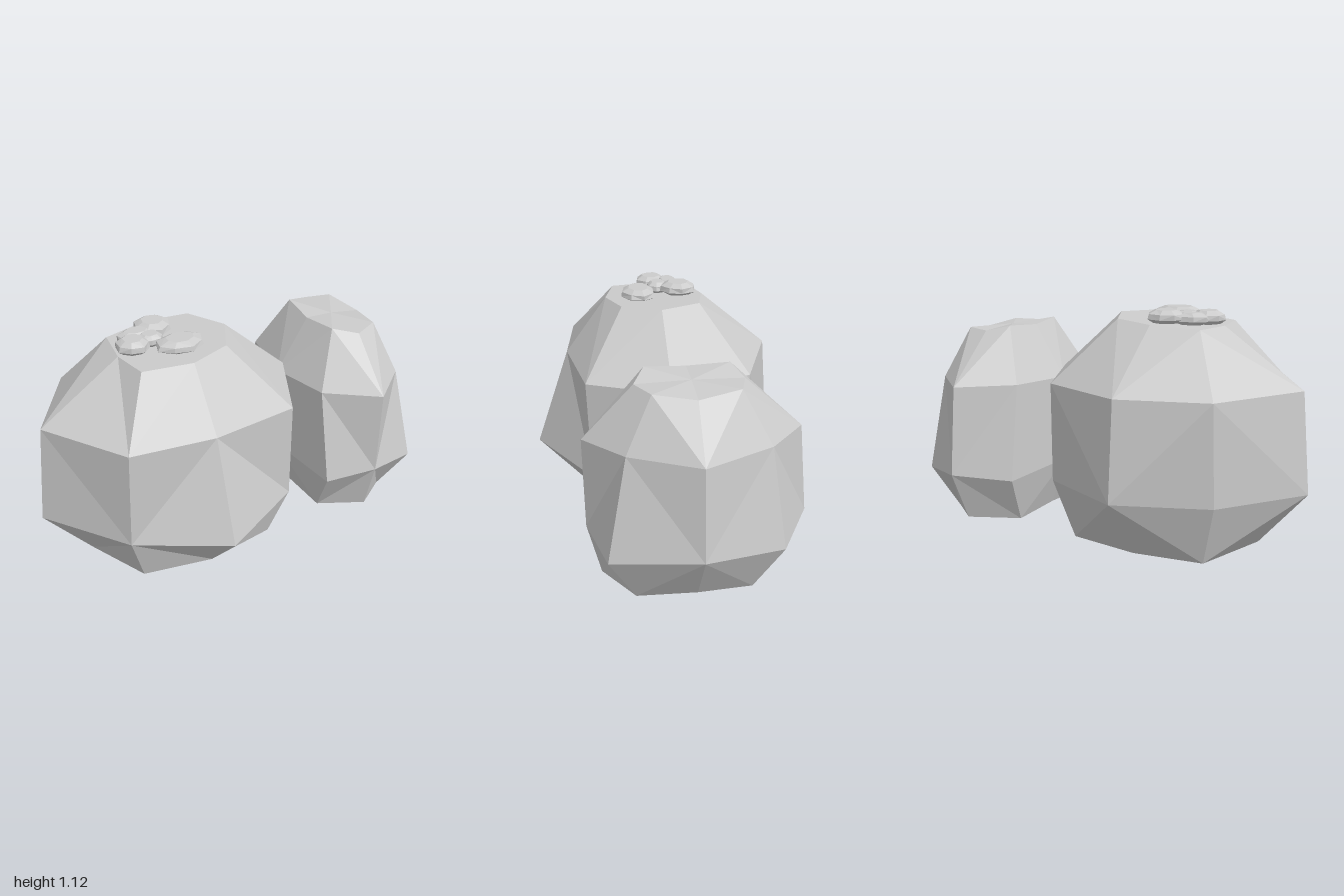
import * as THREE from 'three';

// One eight-sided ring: four cardinal corners and four diagonal ones, front first, turning towards +x.
// Values: cardinal y, diagonal y, then left, right, back, front for the cardinals and for the diagonals,
// then the slope of the ring along x and z.
function ring(cx, cz, [yc, yd, l, r, b, f, dl, dr, db, df, sx = 0, sz = 0]) {
  return [
    [cx, yc, f], [dr, yd, df], [r, yc, cz], [dr, yd, db],
    [cx, yc, b], [dl, yd, db], [l, yc, cz], [dl, yd, df],
  ].map(([x, y, z]) => new THREE.Vector3(x, y + sx * (x - cx) + sz * (z - cz), z));
}

// Closes four rings into a faceted stone. The bands fan from the cardinal corners;
// the sides listed in turned are split along the other diagonal.
function stone(name, rings, material, turned = []) {
  const pos = [];
  const tri = (...pts) => pts.forEach((p) => pos.push(p.x, p.y, p.z));
  const centre = (pts) => pts.reduce((s, p) => s.add(p), new THREE.Vector3()).divideScalar(8);
  const bottom = centre(rings[0]);
  const top = centre(rings[3]);
  for (let i = 0; i < 8; i++) {
    const j = (i + 1) % 8;
    tri(bottom, rings[0][j], rings[0][i]);
    tri(top, rings[3][i], rings[3][j]);
    for (let k = 0; k < 3; k++) {
      const a = rings[k][i], b = rings[k][j], c = rings[k + 1][j], d = rings[k + 1][i];
      const rising = ((i % 2 === 0) === (k > 0)) !== turned.includes(i);
      if (rising) {
        tri(a, b, c); tri(a, c, d);
      } else {
        tri(a, b, d); tri(b, c, d);
      }
    }
  }
  const geometry = new THREE.BufferGeometry();
  geometry.setAttribute('position', new THREE.Float32BufferAttribute(pos, 3));
  geometry.computeVertexNormals();
  const mesh = new THREE.Mesh(geometry, material);
  mesh.name = name;
  return mesh;
}

// A small flattened stone with slightly irregular radii.
function pebble(name, [x, y, z, rx, h, rz, turn], material) {
  const profile = [[0.7, 0], [1, 0.3], [0.95, 0.7], [0.58, 1]];
  const rings = profile.map(([s, t], k) => Array.from({ length: 8 }, (_, i) => {
    const a = (i * Math.PI) / 4 + turn;
    const r = s * (1 + 0.06 * Math.sin(i * 2.3 + k));
    return new THREE.Vector3(x + Math.sin(a) * r * rx, y + h * t, z + Math.cos(a) * r * rz);
  }));
  return stone(name, rings, material);
}

export function createModel() {
  const model = new THREE.Group();
  model.name = 'rockCluster';
  const material = new THREE.MeshStandardMaterial({ color: 0xcccccc, flatShading: true });

  // Broad boulder, its front half split the other way
  model.add(stone('largeRock', [
    [0.028, 0.015, -0.765, 0.15, -0.39, 0.39, -0.63, 0.06, -0.32, 0.31, 0, 0.045],
    [0.298, 0.285, -1, 0.36, -0.615, 0.615, -0.71, 0.14, -0.39, 0.37, 0, -0.02],
    [0.778, 0.772, -0.96, 0.32, -0.58, 0.45, -0.705, 0.13, -0.41, 0.39],
    [1.058, 1.058, -0.565, -0.015, -0.245, 0.245, -0.535, -0.11, -0.2, 0.185, 0.055, 0],
  ].map((v) => ring(-0.305, 0, v)), material, [0, 1, 6, 7]));

  // Taller, narrow rock leaning against its side
  model.add(stone('smallRock', [
    [0.042, 0.02, 0.39, 0.845, -0.455, 0.375, 0.41, 0.8, -0.29, 0.24],
    [0.29, 0.255, 0.305, 1, -0.57, 0.44, 0.37, 0.885, -0.41, 0.37],
    [0.722, 0.728, 0.31, 0.965, -0.53, 0.45, 0.37, 0.82, -0.35, 0.28],
    [0.965, 0.982, 0.475, 0.785, -0.265, 0.22, 0.495, 0.745, -0.225, 0.16, -0.1, 0],
  ].map((v) => ring(0.615, -0.03, v)), material));

  // Pebbles resting on the boulder: x, y, z, x radius, height, z radius, turn
  const pebbles = new THREE.Group();
  pebbles.name = 'pebbles';
  [
    [-0.29, 1.055, 0.08, 0.118, 0.055, 0.086, 0.2],
    [-0.33, 1.058, -0.13, 0.09, 0.06, 0.09, 0.1],
    [-0.43, 1.052, -0.09, 0.095, 0.055, 0.06, 0.5],
    [-0.485, 1.05, -0.01, 0.08, 0.062, 0.078, 0.3],
    [-0.39, 1.052, -0.03, 0.065, 0.055, 0.055, 0.6],
  ].forEach((p, i) => pebbles.add(pebble(`pebble${i + 1}`, p, material)));
  model.add(pebbles);
  return model;
}
